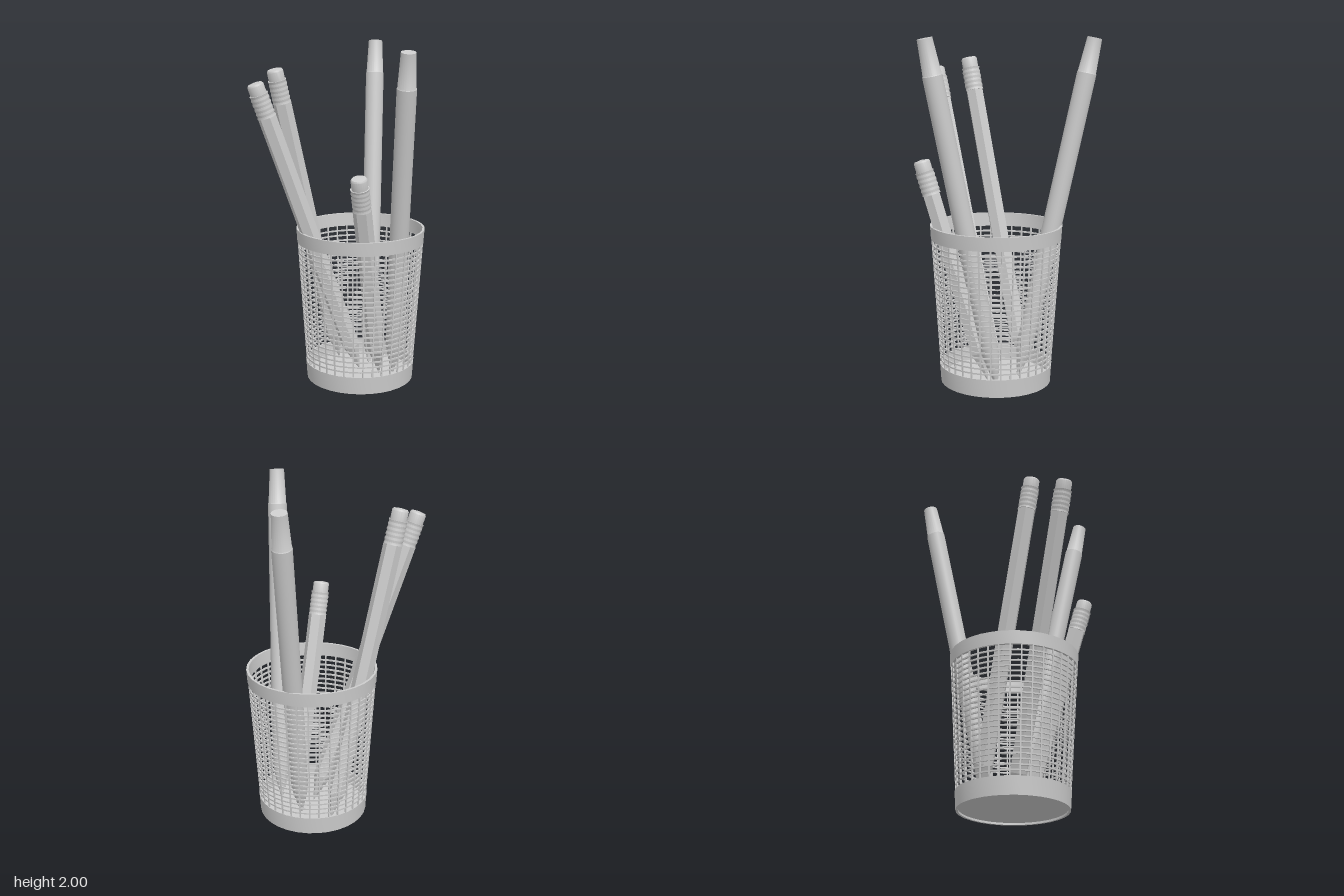
import * as THREE from 'three';
import { toCreasedNormals } from 'three/addons/utils/BufferGeometryUtils.js';

const grey = new THREE.MeshStandardMaterial({ color: 0xcccccc, side: THREE.DoubleSide });
const UP = new THREE.Vector3(0, 1, 0);
const CUP = { x: 0.15, z: -0.02, height: 0.93, bandTop: 0.105, rimBottom: 0.85 };
const SIDES = 32;

// Outer radius of the tapering cup at height y
const cupRadius = (y) => 0.322 + 0.06 * (y / CUP.height);

function add(parent, name, geometry) {
  const mesh = new THREE.Mesh(geometry, grey);
  mesh.name = name;
  parent.add(mesh);
  return mesh;
}

// Revolved profile of [radius, y] points with crisp edges
function lathe(points, sides = 24) {
  const profile = points.map(([r, y]) => new THREE.Vector2(r, y));
  return toCreasedNormals(new THREE.LatheGeometry(profile, sides), 0.6);
}

// Closed band following the cup wall from y0 to y1
function band(y0, y1, inset, thickness) {
  const a = cupRadius(y0) - inset, b = cupRadius(y1) - inset;
  return lathe([[a - thickness, y0], [a, y0], [b, y1], [b - thickness, y1], [a - thickness, y0]], SIDES);
}

function createCup() {
  const cup = new THREE.Group();
  cup.name = 'meshCup';
  add(cup, 'bottomBand', band(0, CUP.bandTop, 0, 0.014));
  add(cup, 'topRim', band(CUP.rimBottom, CUP.height, 0, 0.014));
  const floor = add(cup, 'floor', new THREE.CylinderGeometry(0.312, 0.312, 0.012, SIDES));
  floor.position.y = 0.018;

  // Horizontal wires
  const rows = 24;
  for (let i = 1; i < rows; i++) {
    const y = THREE.MathUtils.lerp(CUP.bandTop, CUP.rimBottom, i / rows);
    add(cup, 'horizontalWire', band(y - 0.0045, y + 0.0045, 0.003, 0.008));
  }

  // Upright wires, leaning outward with the wall
  const columns = 36;
  const r0 = cupRadius(CUP.bandTop) - 0.007, r1 = cupRadius(CUP.rimBottom) - 0.007;
  const rise = CUP.rimBottom - CUP.bandTop;
  const wire = new THREE.BoxGeometry(0.008, Math.hypot(rise, r1 - r0) + 0.01, 0.008);
  wire.rotateX(Math.atan2(r1 - r0, rise));
  wire.translate(0, (CUP.bandTop + CUP.rimBottom) / 2, (r0 + r1) / 2);
  for (let i = 0; i < columns; i++) {
    add(cup, 'uprightWire', wire).rotation.y = (i / columns) * Math.PI * 2;
  }
  cup.position.set(CUP.x, 0, CUP.z);
  return cup;
}

// Group whose local y axis runs from the tip to the top end
function leaningGroup(name, tip, top) {
  const group = new THREE.Group();
  const start = new THREE.Vector3(...tip);
  const axis = new THREE.Vector3(...top).sub(start);
  const length = axis.length();
  group.name = name;
  group.position.copy(start);
  group.quaternion.setFromUnitVectors(UP, axis.normalize());
  return { group, length };
}

function createPencil(tip, top) {
  const { group, length } = leaningGroup('pencil', tip, top);
  const cone = 0.18, ferruleStart = length - 0.2, ferruleEnd = length - 0.065;

  // Sharpened point and hexagonal shaft
  add(group, 'lead', lathe([[0, 0], [0.014, 0.05]], 12));
  const wood = new THREE.CylinderGeometry(0.054, 0.014, cone - 0.05, 6, 1, true).toNonIndexed();
  wood.computeVertexNormals();
  add(group, 'sharpenedWood', wood).position.y = (cone + 0.05) / 2;
  const shaft = new THREE.CylinderGeometry(0.054, 0.054, ferruleStart - cone, 6).toNonIndexed();
  shaft.computeVertexNormals();
  add(group, 'shaft', shaft).position.y = (cone + ferruleStart) / 2;

  // Ribbed metal ferrule
  const ribs = 5, step = (ferruleEnd - ferruleStart) / (ribs * 2);
  const profile = [[0.04, ferruleStart]];
  for (let i = 0; i <= ribs * 2; i++) {
    profile.push([i % 2 ? 0.05 : 0.054, ferruleStart + i * step]);
  }
  profile.push([0.04, ferruleEnd]);
  add(group, 'ferrule', lathe(profile));

  // Eraser with a softly domed end
  add(group, 'eraser', lathe([
    [0.047, ferruleEnd - 0.01], [0.047, length - 0.012], [0.041, length - 0.003], [0, length + 0.003],
  ]));
  return group;
}

function createPen(tip, top) {
  const { group, length } = leaningGroup('pen', tip, top);
  const capStart = 0.62, taperStart = length - 0.2;
  add(group, 'nib', lathe([[0, 0], [0.01, 0.004], [0.016, 0.05]]));
  add(group, 'barrel', lathe([
    [0, 0.045], [0.018, 0.045], [0.036, 0.12], [0.05, 0.2], [0.051, capStart],
  ]));
  add(group, 'upperBarrel', lathe([
    [0.05, capStart], [0.055, capStart], [0.055, taperStart],
  ]));
  add(group, 'taperedEnd', lathe([
    [0.055, taperStart], [0.052, taperStart + 0.004], [0.042, length], [0, length],
  ]));
  return group;
}

export function createModel() {
  const model = new THREE.Group();
  model.name = 'penHolder';
  model.add(createCup());

  // [tip, top end]
  const pencils = [
    [[0.15, 0.03, -0.02], [-0.49, 1.805, -0.02]],
    [[0.11, 0.03, -0.25], [-0.33, 1.868, -0.15]],
    [[0.23, 0.03, 0.09], [-0.03, 1.31, 0.37]],
  ];
  const pens = [
    [[0.32, 0.03, 0.09], [0.205, 1.99, 0.482]],
    [[0.25, 0.03, -0.11], [0.445, 1.99, -0.482]],
  ];
  pencils.forEach(([tip, top]) => model.add(createPencil(tip, top)));
  pens.forEach(([tip, top]) => model.add(createPen(tip, top)));
  return model;
}
